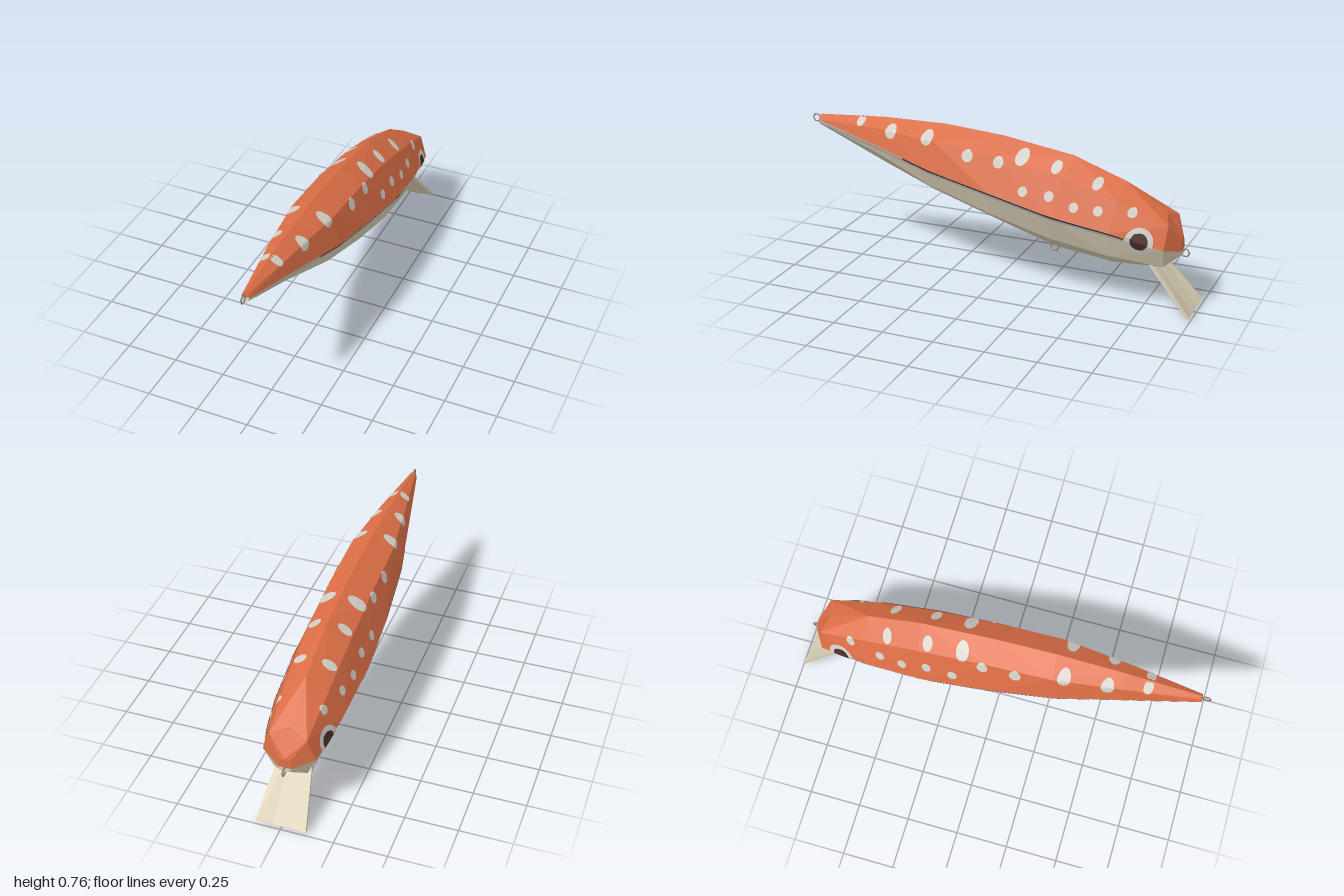
import * as THREE from 'three';

const mat = (name, color, side = THREE.FrontSide) => {
  const m = new THREE.MeshStandardMaterial({ color, side });
  m.name = name;
  return m;
};

// Body stations, tail to nose:
// top z, top y, keel z, keel y, then [half width, y] of upper crease, seam and lower crease, and a forward bulge
const stations = [
  [0.95, 0.725, 0.96, 0.672, [0.012, 0.717], [0.02, 0.7], [0.014, 0.685], 0],
  [0.6, 0.753, 0.59, 0.517, [0.065, 0.711], [0.088, 0.63], [0.066, 0.58], 0],
  [0.27, 0.76, 0.335, 0.416, [0.104, 0.697], [0.14, 0.565], [0.095, 0.475], 0],
  [-0.03, 0.74, 0.0, 0.31, [0.107, 0.67], [0.17, 0.507], [0.112, 0.38], 0],
  [-0.38, 0.69, -0.29, 0.222, [0.107, 0.61], [0.18, 0.44], [0.117, 0.305], 0],
  [-0.64, 0.6, -0.585, 0.187, [0.102, 0.535], [0.165, 0.397], [0.112, 0.262], 0],
  [-0.84, 0.475, -0.815, 0.2, [0.088, 0.443], [0.124, 0.335], [0.08, 0.238], -0.035],
  [-0.92, 0.355, -0.92, 0.28, [0.022, 0.345], [0.032, 0.305], [0.02, 0.285], 0],
];

// One station point: level 0 top, 1 upper crease, 2 seam, 3 lower crease, 4 keel
function stationPoint(s, level, sign) {
  const [zt, yt, zb, yb] = s;
  if (level === 0) return new THREE.Vector3(0, yt, zt);
  if (level === 4) return new THREE.Vector3(0, yb, zb);
  const [w, y] = s[3 + level];
  const z = THREE.MathUtils.lerp(zb, zt, (y - yb) / (yt - yb)) + s[7];
  return new THREE.Vector3(sign * w, y, z);
}

function flatGeometry(points) {
  const g = new THREE.BufferGeometry().setFromPoints(points);
  g.computeVertexNormals();
  return g;
}

// Faceted half shell through all stations, each quad folded outwards, with end caps
function shell(columns) {
  const rings = stations.map((s) => columns.map(([level, sign]) => stationPoint(s, level, sign)));
  const pts = [];
  for (let i = 0; i < rings.length - 1; i++) {
    for (let j = 0; j < columns.length - 1; j++) {
      const a = rings[i][j], b = rings[i + 1][j], c = rings[i][j + 1], d = rings[i + 1][j + 1];
      const n = b.clone().sub(a).cross(c.clone().sub(a));
      if (n.dot(d.clone().sub(a)) > 0) pts.push(a, b, d, a, d, c);
      else pts.push(a, b, c, b, d, c);
    }
  }
  const tail = rings[0], nose = rings[rings.length - 1];
  for (let j = 1; j < columns.length - 1; j++) {
    pts.push(tail[0], tail[j], tail[j + 1], nose[0], nose[j + 1], nose[j]);
  }
  return flatGeometry(pts);
}

export function createModel() {
  const model = new THREE.Group();
  model.name = 'fishingLure';
  const orange = mat('orange', 0xdc6e46);
  const cream = mat('cream', 0xdbd0b6);
  const white = mat('spotWhite', 0xd2d0c8, THREE.DoubleSide);
  const brown = mat('darkBrown', 0x4a2e25, THREE.DoubleSide);
  const lilac = mat('lilacGrey', 0xb9b5bd, THREE.DoubleSide);
  const metal = mat('metal', 0x8c8c88);

  const add = (name, geometry, material) => {
    const mesh = new THREE.Mesh(geometry, material);
    mesh.name = name;
    model.add(mesh);
    return mesh;
  };

  const back = add('back', shell([[2, 1], [1, 1], [0, 1], [1, -1], [2, -1]]), orange);
  const belly = add('belly', shell([[2, -1], [3, -1], [4, 1], [3, 1], [2, 1]]), cream);
  model.updateMatrixWorld(true);

  // Paint layer: a grid in the side plane pressed onto the body on both flanks
  const ray = new THREE.Raycaster();
  function paint(name, nu, nv, at, lift, material) {
    for (const sign of [1, -1]) {
      const grid = [];
      for (let u = 0; u <= nu; u++) {
        grid.push([]);
        for (let v = 0; v <= nv; v++) {
          const [z, y] = at(u / nu, v / nv);
          ray.set(new THREE.Vector3(sign, y, z), new THREE.Vector3(-sign, 0, 0));
          const hit = ray.intersectObjects([back, belly])[0];
          grid[u].push(hit ? hit.point.clone().addScaledVector(hit.face.normal, lift) : null);
        }
      }
      const pts = [];
      for (let u = 0; u < nu; u++) {
        for (let v = 0; v < nv; v++) {
          const quad = [grid[u][v], grid[u + 1][v], grid[u][v + 1], grid[u + 1][v + 1]];
          if (quad.includes(null)) continue;
          const [a, b, c, d] = quad;
          if (sign > 0) pts.push(a, b, c, b, d, c);
          else pts.push(a, c, b, b, c, d);
        }
      }
      add(name + (sign > 0 ? 'Left' : 'Right'), flatGeometry(pts), material);
    }
  }
  const disc = (name, z, y, inner, outer, lift, material) => paint(name, 4, 20, (u, v) => {
    const r = Math.max(0.001, inner + (outer - inner) * u), a = v * Math.PI * 2;
    return [z - Math.cos(a) * r, y + Math.sin(a) * r];
  }, lift, material);

  // Spots: z, y, radius
  [
    [0.71, 0.728, 0.022], [0.53, 0.705, 0.03], [0.33, 0.705, 0.03], [0.107, 0.656, 0.028],
    [-0.05, 0.645, 0.026], [-0.155, 0.672, 0.031], [-0.325, 0.645, 0.024], [-0.525, 0.592, 0.023],
    [-0.187, 0.533, 0.023], [-0.315, 0.526, 0.023], [-0.437, 0.49, 0.022], [-0.55, 0.485, 0.022],
    [-0.705, 0.49, 0.022],
  ].forEach(([z, y, r], i) => disc('spot' + (i + 1), z, y, 0, r, 0.003, white));

  // Eyes
  disc('eyeRing', -0.75, 0.366, 0.04, 0.065, 0.005, white);
  disc('pupil', -0.75, 0.366, 0, 0.042, 0.005, brown);

  // Side stripes just under the seam
  const seam = stations.map((s) => stationPoint(s, 2, 1));
  const seamY = (z) => {
    let i = 0;
    while (i < seam.length - 2 && seam[i + 1].z > z) i++;
    const t = (z - seam[i].z) / (seam[i + 1].z - seam[i].z);
    return THREE.MathUtils.lerp(seam[i].y, seam[i + 1].y, t);
  };
  const stripe = (name, z0, z1, low, high, material) => paint(name, 40, 1, (u, v) => {
    const z = z0 + (z1 - z0) * u;
    return [z, seamY(z) + low + (high - low) * v];
  }, 0.002, material);
  stripe('darkStripe', 0.45, -0.68, -0.008, 0, brown);
  stripe('paleStripe', 0.9, -0.68, -0.02, -0.008, lilac);

  // Diving lip: flared plate with a shallow trough
  const lip = new THREE.BoxGeometry(2, 1, 0.014, 3, 1, 1).toNonIndexed();
  const p = lip.attributes.position;
  for (let i = 0; i < p.count; i++) {
    const x = p.getX(i), t = 0.5 - p.getY(i), n = p.getZ(i);
    const sag = (Math.abs(x) > 0.5 ? 0 : 0.013) * t;
    p.setXYZ(i,
      x * (0.075 + 0.045 * t),
      0.275 - 0.263 * t - sag * 0.5 - n * 0.66,
      -0.76 - 0.234 * t + sag * 0.8 + n * 0.75);
  }
  lip.computeVertexNormals();
  add('divingLip', lip, cream);

  // Wire eyelets at tail, belly and nose
  for (const [name, y, z] of [['tailEyelet', 0.703, 0.976], ['bellyEyelet', 0.215, -0.295], ['noseEyelet', 0.29, -0.933]]) {
    const eyelet = add(name, new THREE.TorusGeometry(0.02, 0.004, 4, 6), metal);
    eyelet.rotation.y = Math.PI / 2;
    eyelet.position.set(0, y, z);
  }
  return model;
}
